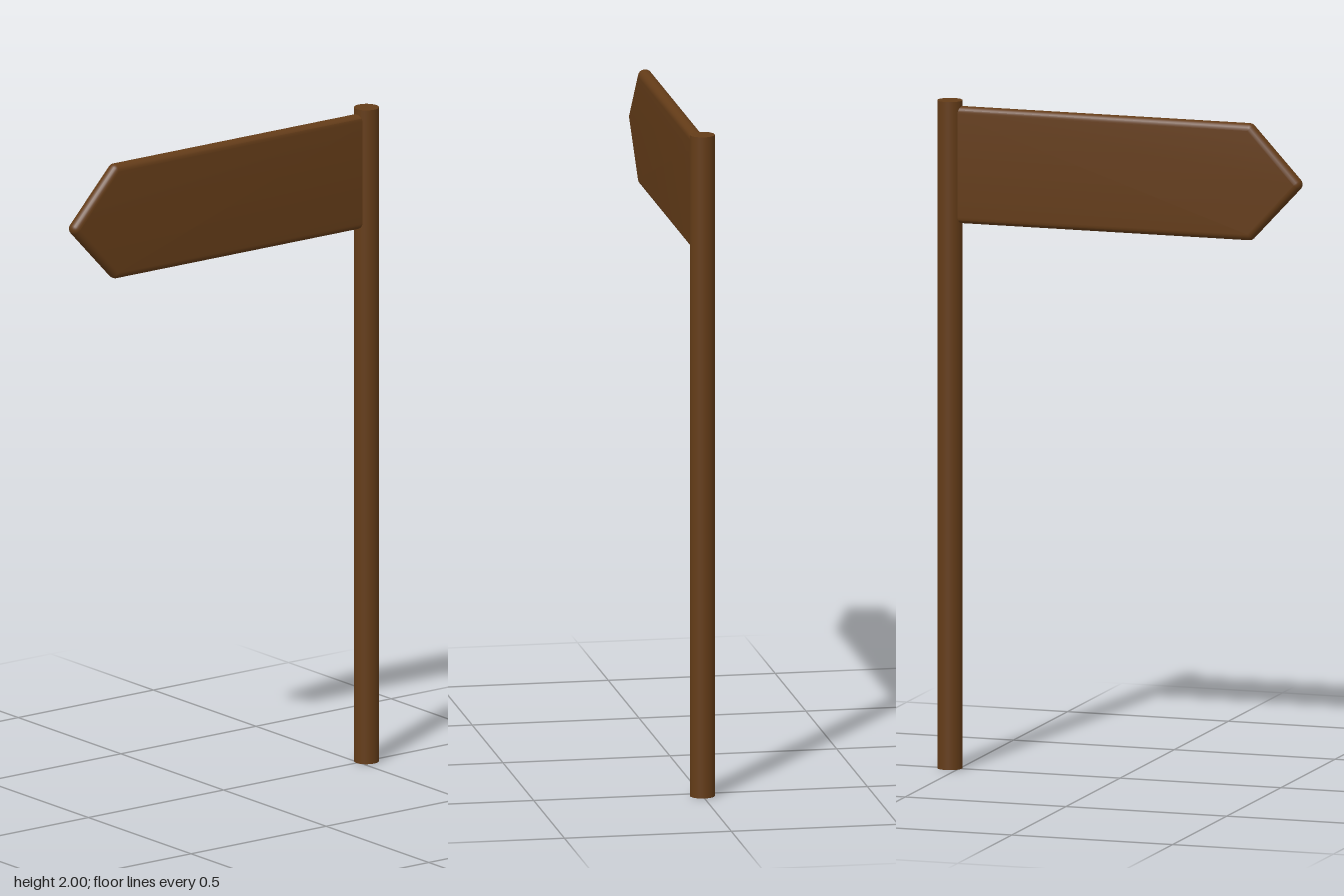
import * as THREE from 'three';
import { toCreasedNormals } from 'three/addons/utils/BufferGeometryUtils.js';

const POST_Z = -0.529, POST_R = 0.037;
const wood = new THREE.MeshStandardMaterial({ color: 0x643c18 });

// Arrow-shaped board with fully rounded edges, pointing to +z
function createBoard() {
  const core = 0.001, bevel = 0.02; // corner radius before and added by the bevel
  const midY = 1.809, halfH = 0.154, shoulder = 0.402, tip = 0.545;
  const slope = Math.atan2(tip - shoulder, halfH); // normal angle of the arrow's slanted sides

  // The back end is buried inside the post
  const outline = new THREE.Shape();
  outline.moveTo(POST_Z, midY + halfH + core);
  outline.lineTo(POST_Z, midY - halfH - core);
  outline.absarc(shoulder, midY - halfH, core, -Math.PI / 2, -slope, false);
  outline.absarc(tip, midY, core, -slope, slope, false);
  outline.absarc(shoulder, midY + halfH, core, slope, Math.PI / 2, false);
  outline.closePath();

  const depth = 0.002;
  const geometry = new THREE.ExtrudeGeometry(outline, {
    depth, bevelEnabled: true, bevelSize: bevel, bevelThickness: bevel,
    bevelSegments: 6, curveSegments: 6,
  });
  geometry.translate(0, 0, -depth / 2);
  geometry.rotateY(-Math.PI / 2); // outline runs along z, thickness along x

  // Enlarged while creasing, so the fine rounding is not merged together
  geometry.scale(1000, 1000, 1000);
  const creased = toCreasedNormals(geometry, 0.6);
  creased.scale(0.001, 0.001, 0.001);
  return new THREE.Mesh(creased, wood);
}

export function createModel() {
  const model = new THREE.Group();
  model.name = 'signpost';

  // Round upright post
  const post = new THREE.Mesh(new THREE.CylinderGeometry(POST_R, POST_R, 2, 32), wood);
  post.name = 'post';
  post.position.set(0, 1, POST_Z);

  const board = createBoard();
  board.name = 'arrowBoard';

  model.add(post, board);
  return model;
}
